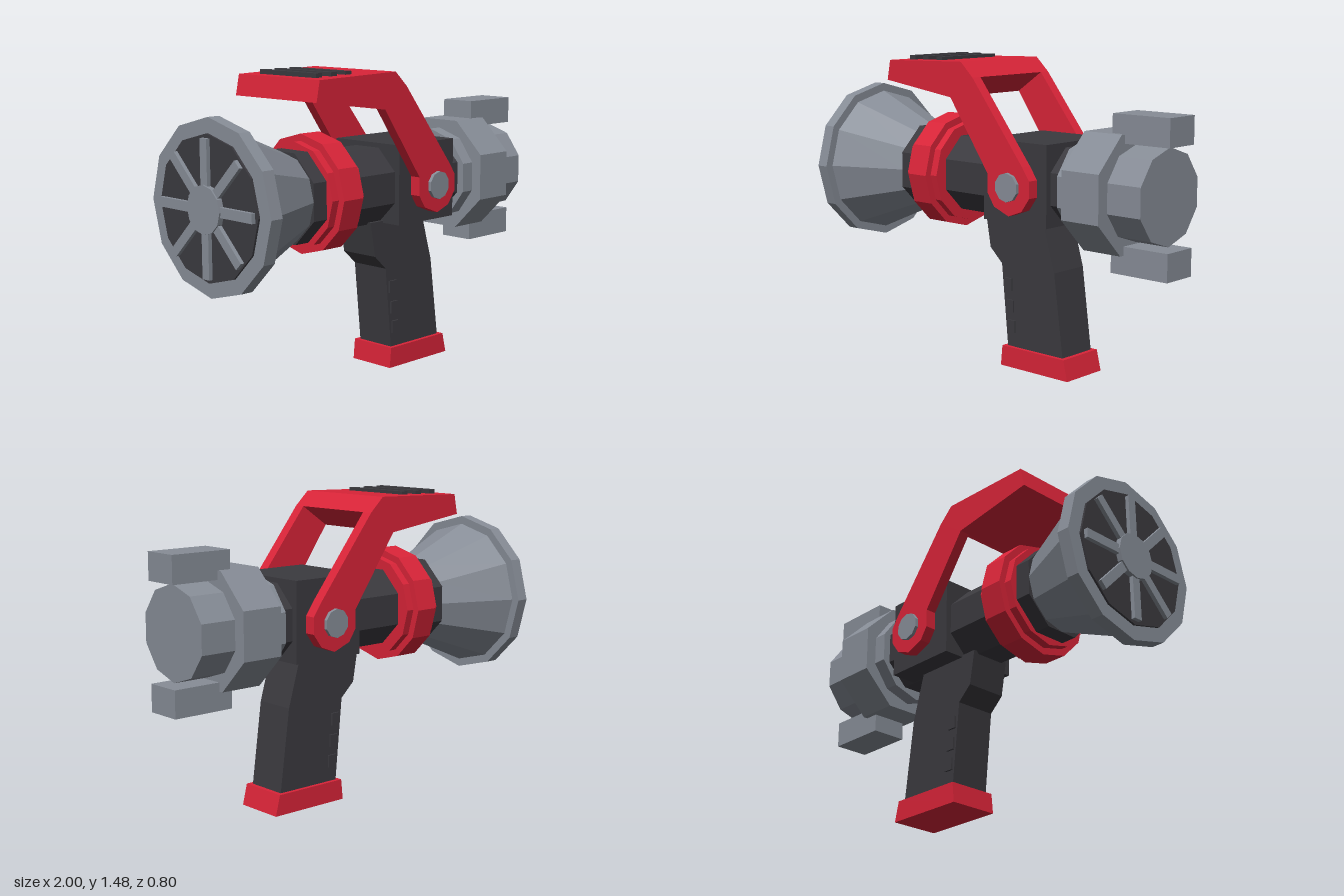
import * as THREE from 'three';

const AXIS_Y = 0.91; // height of the barrel axis

export function createModel() {
  const model = new THREE.Group();
  model.name = 'hoseNozzle';

  const material = (name, color) => {
    const m = new THREE.MeshStandardMaterial({ color, flatShading: true });
    m.name = name;
    return m;
  };
  const red = material('red', 0xd92438);
  const grey = material('grey', 0x878d97);
  const dark = material('charcoal', 0x3b3a3f);

  function add(name, geometry, mat, x = 0, y = 0, z = 0) {
    const mesh = new THREE.Mesh(geometry, mat);
    mesh.name = name;
    mesh.position.set(x, y, z);
    model.add(mesh);
    return mesh;
  }

  const box = (name, mat, x0, x1, y0, y1, z0, z1) =>
    add(name, new THREE.BoxGeometry(x1 - x0, y1 - y0, z1 - z0), mat,
      (x0 + x1) / 2, (y0 + y1) / 2, (z0 + z1) / 2);

  // Faceted drum along the barrel axis, radius r0 at x0 and r1 at x1
  function drum(name, mat, x0, x1, r0, r1, sides, turn = 0) {
    const g = new THREE.CylinderGeometry(r1, r0, x1 - x0, sides);
    g.rotateY(turn).rotateZ(-Math.PI / 2);
    return add(name, g, mat, (x0 + x1) / 2, AXIS_Y);
  }
  // Octagonal drum with flats at top and sides, sized across the flats
  const octagon = (name, mat, x0, x1, a) => {
    const r = a / Math.cos(Math.PI / 8);
    return drum(name, mat, x0, x1, r, r, 8, Math.PI / 8);
  };

  // Side profile extruded from z0 to z1
  function slab(name, mat, points, z0, z1) {
    const shape = new THREE.Shape(points.map(([x, y]) => new THREE.Vector2(x, y)));
    const g = new THREE.ExtrudeGeometry(shape, { depth: z1 - z0, bevelEnabled: false });
    return add(name, g, mat, 0, 0, z0);
  }

  // Bell
  drum('bellRim', grey, -0.963, -0.9, 0.4, 0.4, 12);
  drum('bellCone', grey, -0.9, -0.54, 0.36, 0.21, 12);
  drum('mouthDisc', dark, -0.973, -0.95, 0.33, 0.33, 12);
  drum('mouthHub', grey, -1, -0.96, 0.11, 0.11, 12);
  for (let i = 0; i < 8; i++) {
    const g = new THREE.BoxGeometry(0.025, 0.24, 0.045);
    g.translate(0, 0.19, 0).rotateX((i * Math.PI) / 4);
    add('mouthSpoke', g, grey, -0.98, AXIS_Y);
  }

  // Barrel
  octagon('collar', dark, -0.54, -0.44, 0.21);
  octagon('barrel', dark, -0.46, 0.49, 0.182);
  drum('twistRing', red, -0.46, -0.26, 0.248, 0.248, 12);
  drum('twistRingBand', red, -0.42, -0.3, 0.282, 0.282, 12);
  box('valveBody', dark, 0.02, 0.41, 0.73, 1.115, -0.21, 0.21);

  // Hose coupling
  drum('couplingNeck', grey, 0.48, 0.56, 0.23, 0.23, 10, Math.PI / 2);
  octagon('couplingNut', grey, 0.55, 0.76, 0.272);
  drum('couplingEnd', grey, 0.75, 0.94, 0.222, 0.222, 10, Math.PI / 2);
  box('upperLug', grey, 0.69, 1, 1.14, 1.27, -0.09, 0.09);
  box('lowerLug', grey, 0.69, 1, 0.55, 0.68, -0.09, 0.09);

  // Pistol grip
  slab('grip', dark, [[-0.065, 0.74], [-0.035, 0.57], [0.04, 0.5], [0.08, 0.09],
    [0.425, 0.09], [0.37, 0.5], [0.3, 0.74]], -0.105, 0.105);
  slab('gripBase', red, [[0.05, 0], [0.47, 0], [0.445, 0.1], [0.06, 0.1]], -0.125, 0.125);
  for (const [x, y] of [[0.085, 0.405], [0.095, 0.3], [0.105, 0.2]]) {
    box('gripStud', dark, x - 0.023, x + 0.023, y - 0.03, y + 0.03, -0.114, 0.114);
  }

  // Bail handle: cross plate and two pivoting arms
  slab('handlePlate', red, [[-0.575, 1.36], [-0.14, 1.3], [0.005, 1.4], [-0.07, 1.47],
    [-0.555, 1.458]], -0.268, 0.268);
  const arm = [[-0.14, 1.3], [0.1, 0.96], [0.1, 0.87], [0.14, 0.81], [0.23, 0.775],
    [0.31, 0.805], [0.357, 0.87], [0.357, 0.95], [0.315, 1.01], [0.005, 1.4]];
  for (const side of [-1, 1]) {
    const z = side * 0.241;
    slab('handleArm', red, arm, z - 0.027, z + 0.027);
    const bolt = new THREE.CylinderGeometry(0.068, 0.068, 0.08, 10).rotateX(Math.PI / 2);
    add('pivotBolt', bolt, grey, 0.228, AXIS_Y, side * 0.245);
  }
  for (const x of [-0.48, -0.388, -0.295]) {
    box('handleRib', dark, x - 0.019, x + 0.019, 1.44, 1.48, -0.186, 0.186);
  }

  return model;
}
